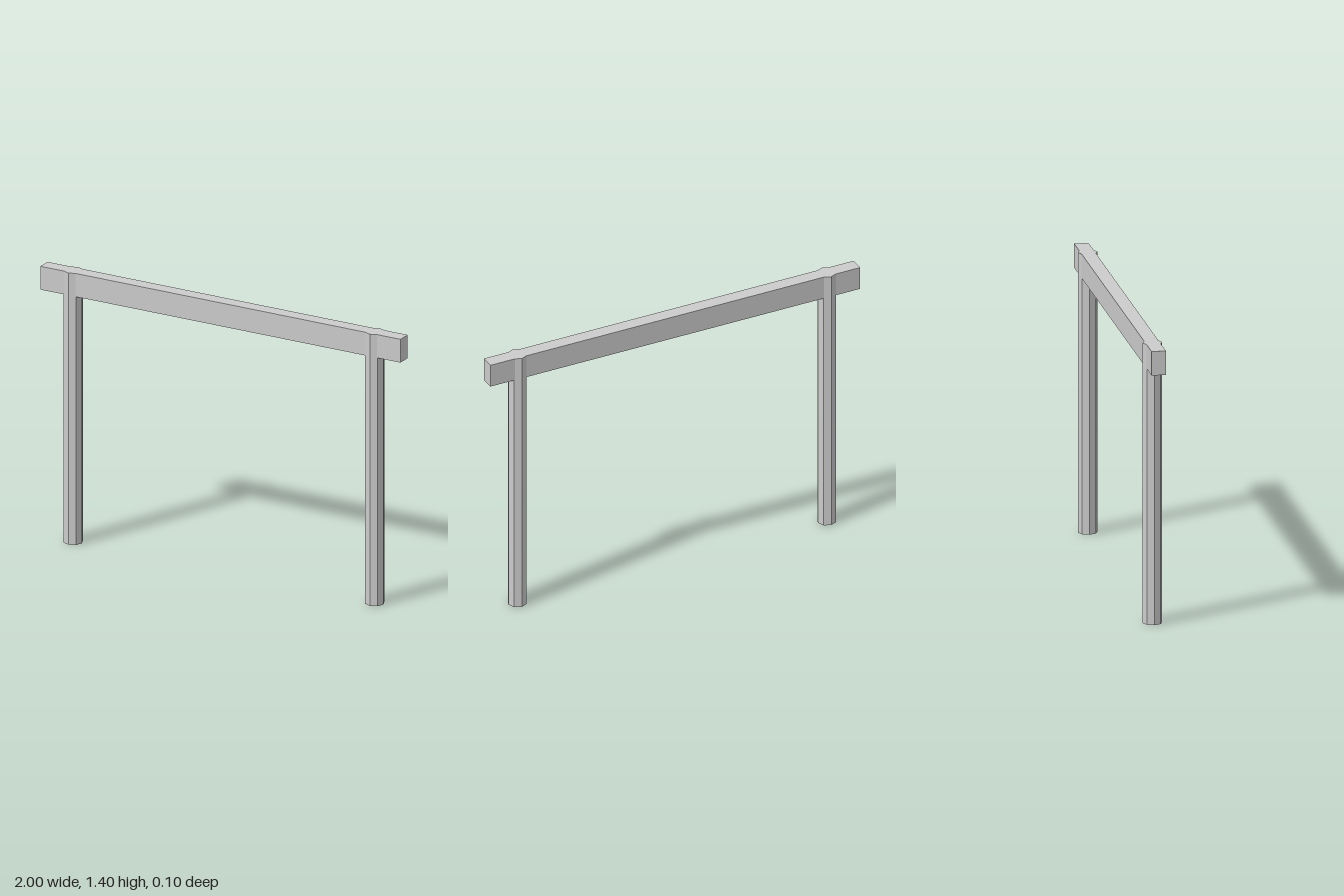
import * as THREE from 'three';

export function createModel() {
  const group = new THREE.Group();
  const material = new THREE.MeshStandardMaterial({ color: 0xcccccc, flatShading: true });
  const height = 1.4, beamHeight = 0.12;

  // Horizontal top beam
  const beam = new THREE.Mesh(new THREE.BoxGeometry(2, beamHeight, 0.07), material);
  beam.name = 'topBeam';
  beam.position.y = height - beamHeight / 2;
  group.add(beam);

  // Two octagonal posts running up through the beam
  const postGeometry = new THREE.CylinderGeometry(0.048, 0.048, height, 8);
  for (const [name, side] of [['leftPost', 1], ['rightPost', -1]]) {
    const post = new THREE.Mesh(postGeometry, material);
    post.name = name;
    post.position.set(side * 0.837, height / 2, 0);
    group.add(post);
  }

  return group;
}
